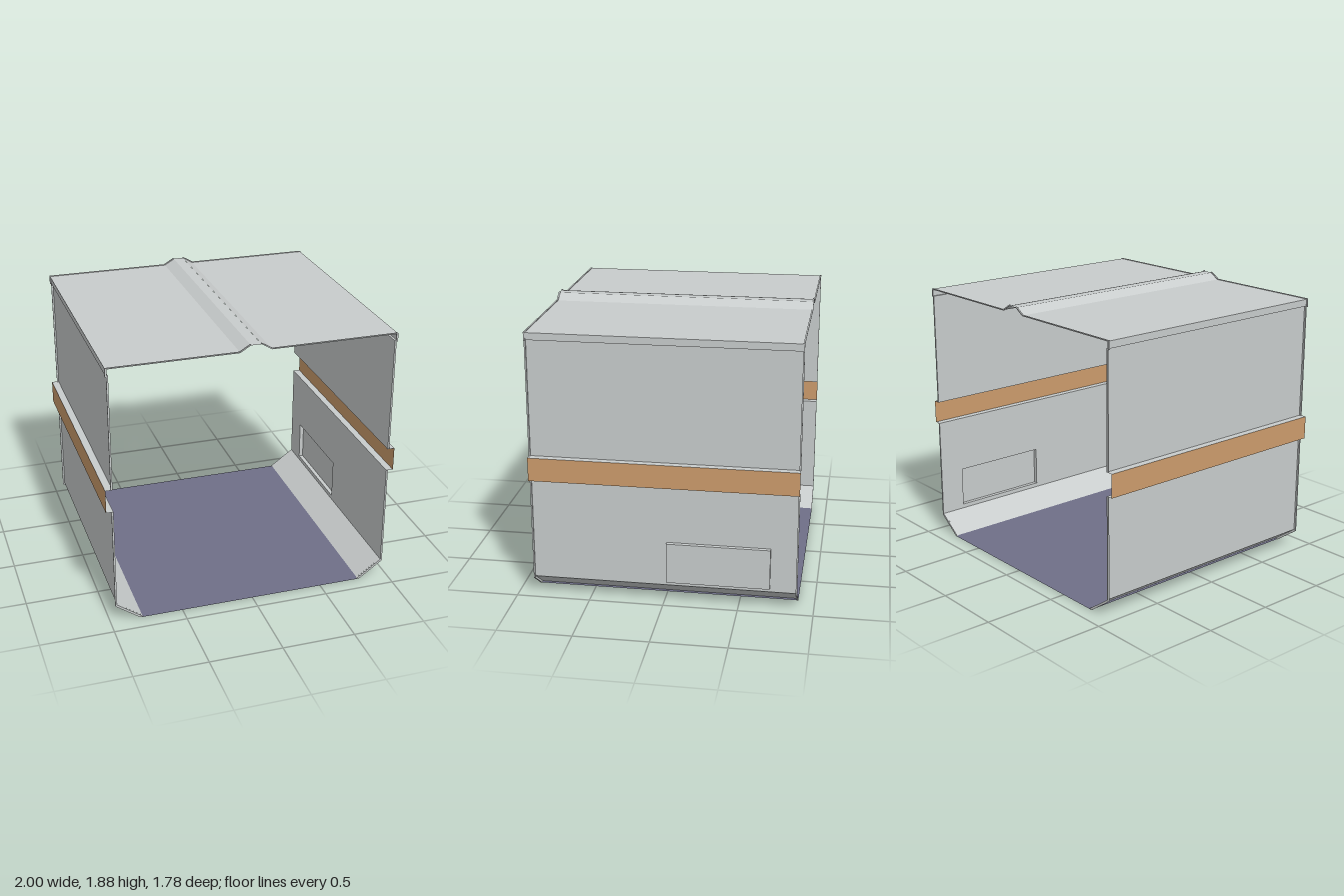
import * as THREE from 'three';

const HALF = 0.89; // half length along z
const LIP = 0.012; // depth of the raised end rims

const flat = (name, color) => {
  const m = new THREE.MeshStandardMaterial({ color, side: THREE.DoubleSide, flatShading: true });
  m.name = name;
  return m;
};

export function createModel() {
  const root = new THREE.Group();
  root.name = 'openShell';
  const grey = flat('lightGreyPanel', 0xc8cccc);
  const orange = flat('tanBand', 0xcc9c6c);
  const purple = flat('slateFloor', 0x6f6f88);

  const add = (name, geo, mat = grey) => {
    const m = new THREE.Mesh(geo, mat);
    m.name = name;
    root.add(m);
    return m;
  };

  // Thin sheet running along z between two points of the cross-section
  const sheet = (name, a, b, half = HALF, mat = grey) => {
    const g = new THREE.BufferGeometry();
    g.setAttribute('position', new THREE.Float32BufferAttribute([
      a[0], a[1], half, b[0], b[1], half, b[0], b[1], -half, a[0], a[1], -half], 3));
    g.setIndex([0, 1, 2, 0, 2, 3]);
    g.computeVertexNormals();
    return add(name, g, mat);
  };

  // Narrow raised rims at both open ends, from a cross-section outline
  const rims = (name, pts) => {
    for (const z of [-HALF, HALF - 0.01]) {
      const s = new THREE.Shape(pts.map((p) => new THREE.Vector2(p[0], p[1])));
      const g = new THREE.ExtrudeGeometry(s, { depth: 0.01, bevelEnabled: false });
      g.translate(0, 0, z);
      add(name, g);
    }
  };

  // Floor
  sheet('floor', [-0.79, 0.004], [0.79, 0.004], HALF, purple);
  sheet('floorUnderside', [-0.79, 0], [0.79, 0], HALF, purple);

  for (const s of [1, -1]) {
    const side = s > 0 ? 'left' : 'right';
    const X = (x, y) => [s * x, y];
    const out = 0.963, inn = out - LIP;

    // Sloped lower edge
    sheet(side + 'LowerSlope', X(0.78, 0.008), X(inn, 0.13), HALF - 0.01);
    rims(side + 'LowerSlopeRim', [X(0.795, 0), X(out, 0.12), X(inn, 0.13), X(0.775, 0.004)]);

    // Lower wall, with an opening for the bulged panel on one side
    const wall = new THREE.Shape();
    wall.moveTo(-0.885, 0.13).lineTo(0.885, 0.13).lineTo(0.885, 0.84).lineTo(-0.885, 0.84);
    if (s > 0) {
      const hole = new THREE.Path();
      hole.moveTo(-0.71, 0.16).lineTo(-0.71, 0.44).lineTo(-0.02, 0.44).lineTo(-0.02, 0.16);
      wall.holes.push(hole);
    }
    const wallGeo = new THREE.ShapeGeometry(wall);
    wallGeo.rotateY(-Math.PI / 2);
    wallGeo.translate(s * inn, 0, 0);
    add(side + 'LowerWall', wallGeo);
    rims(side + 'LowerWallRim', [X(out, 0.12), X(out, 0.84), X(inn, 0.84), X(inn, 0.13)]);

    // Projecting coloured band with its ledges
    sheet(side + 'BandLowerLedge', X(inn, 0.84), X(1, 0.84));
    sheet(side + 'BandUpperLedge', X(inn, 1), X(1, 1));
    sheet(side + 'Band', X(0.998, 0.84), X(0.998, 1), HALF, orange);
    sheet(side + 'BandFace', X(1, 0.84), X(1, 1), HALF, orange);

    // Upper wall
    sheet(side + 'UpperWall', X(inn, 1), X(inn, 1.788), HALF - 0.005);
    rims(side + 'UpperWallRim', [X(out, 1), X(out, 1.785), X(inn, 1.785), X(inn, 1)]);

    // Fascia under the roof edge
    sheet(side + 'FasciaLedge', X(inn, 1.788), X(0.966, 1.788), HALF - 0.005);
    sheet(side + 'Fascia', X(0.966, 1.788), X(0.966, 1.837), HALF - 0.005);
    rims(side + 'FasciaRim', [X(inn, 1.782), X(0.972, 1.782), X(0.972, 1.84), X(0.96, 1.84), X(0.96, 1.79), X(inn, 1.79)]);

    // Roof half and its raised inner flap
    sheet(side + 'Roof', X(0.97, 1.837), X(0.105, 1.837));
    rims(side + 'RoofRim', [X(0.97, 1.834), X(0.97, 1.841), X(0.105, 1.841), X(0.105, 1.834)]);
    sheet(side + 'RoofFlap', X(0.105, 1.837), X(0.035, 1.878));
    rims(side + 'RoofFlapRim', [X(0.105, 1.834), X(0.11, 1.841), X(0.038, 1.884), X(0.034, 1.878)]);
  }

  // Flat strip closing the ridge
  sheet('ridgeStrip', [-0.035, 1.877], [0.035, 1.877]);

  // Panel bulging out of the lower left wall, open on the inside
  const x0 = 0.951, x1 = 0.98, zc = -0.365, w = 0.345;
  const bulge = [
    sheet('bulgePanelFace', [x1, 0.16], [x1, 0.44], w),
    sheet('bulgePanelTop', [x0, 0.44], [x1, 0.44], w),
    sheet('bulgePanelBottom', [x0, 0.16], [x1, 0.16], w),
  ];
  bulge.forEach((m) => { m.position.z = zc; });
  for (const z of [zc - w, zc + w]) {
    const g = new THREE.PlaneGeometry(x1 - x0, 0.28);
    g.translate((x0 + x1) / 2, 0.3, z);
    add('bulgePanelEnd', g);
  }

  return root;
}
